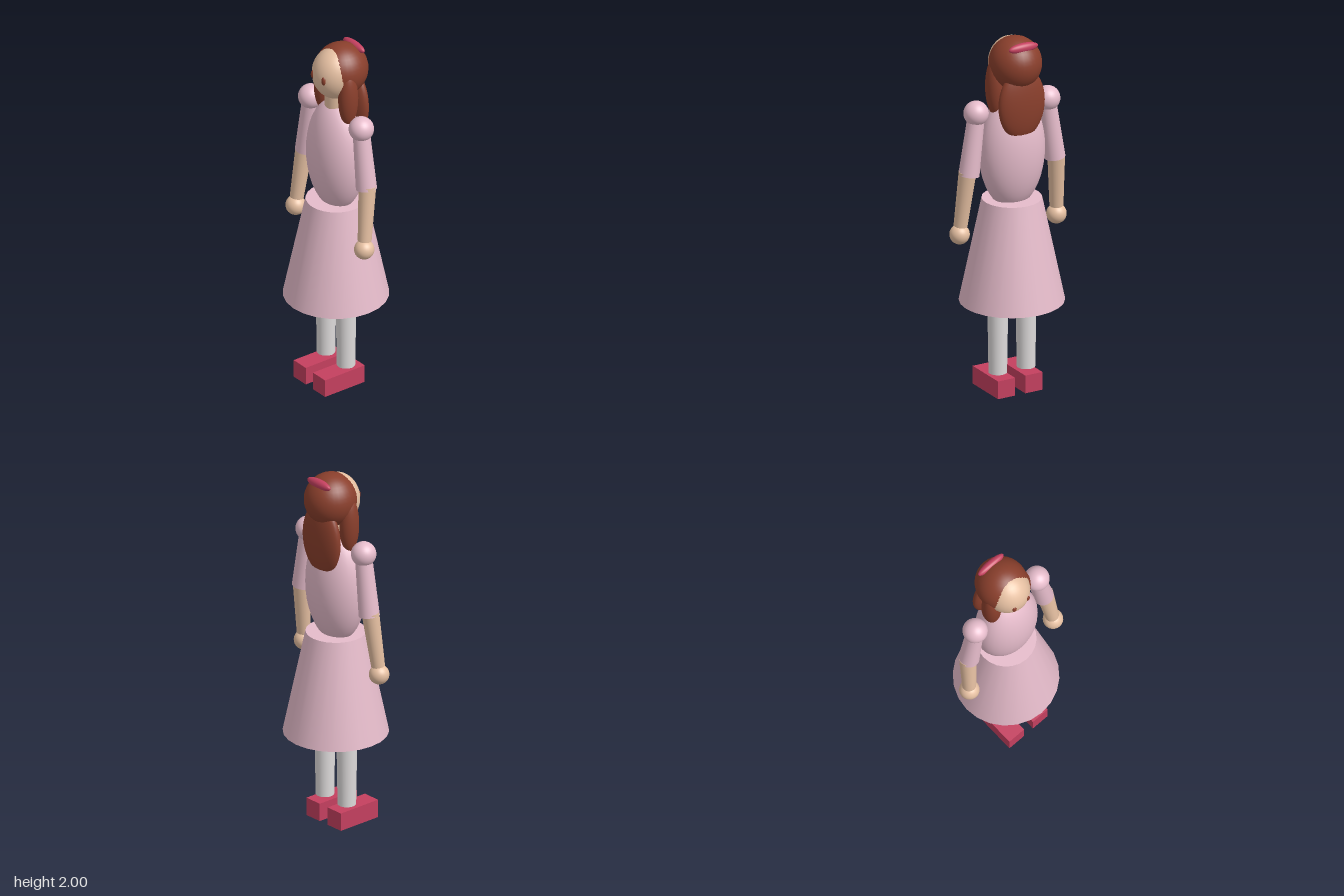
import * as THREE from 'three';

const material = (name, color) => {
  const m = new THREE.MeshStandardMaterial({ color });
  m.name = name;
  return m;
};

export function createModel() {
  const model = new THREE.Group();
  model.name = 'girlDoll';

  const pink = material('dressPink', 0xe6bccb);
  const skin = material('skin', 0xe6c0a2);
  const brown = material('hairBrown', 0x8a3f2c);
  const red = material('shoeRed', 0xc4405f);
  const white = material('stockingWhite', 0xdedbdb);

  const add = (name, geometry, mat) => {
    const mesh = new THREE.Mesh(geometry, mat);
    mesh.name = name;
    model.add(mesh);
    return mesh;
  };

  const ellipsoid = (name, mat, [x, y, z], [rx, ry, rz]) => {
    const mesh = add(name, new THREE.SphereGeometry(1, 32, 20), mat);
    mesh.scale.set(rx, ry, rz);
    mesh.position.set(x, y, z);
    return mesh;
  };

  // Tapered limb running from an upper point to a lower point
  const limb = (name, mat, top, bottom, rTop, rBottom) => {
    const a = new THREE.Vector3(...top);
    const b = new THREE.Vector3(...bottom);
    const mesh = add(name, new THREE.CylinderGeometry(rTop, rBottom, a.distanceTo(b), 24), mat);
    mesh.position.copy(a).add(b).multiplyScalar(0.5);
    mesh.quaternion.setFromUnitVectors(new THREE.Vector3(0, 1, 0), a.sub(b).normalize());
    return mesh;
  };

  // Dress and neck
  limb('skirt', pink, [0, 1.085, 0], [0, 0.51, 0], 0.16, 0.28);
  ellipsoid('bodice', pink, [0, 1.355, 0], [0.185, 0.325, 0.14]);
  limb('neck', skin, [0, 1.76, 0], [0, 1.62, 0], 0.06, 0.06);

  // Head, hair and hair bow
  ellipsoid('head', skin, [0, 1.845, 0], [0.125, 0.145, 0.13]);
  ellipsoid('hairCap', brown, [0, 1.855, -0.035], [0.14, 0.145, 0.145]);
  ellipsoid('backHair', brown, [0, 1.645, -0.1], [0.138, 0.2, 0.052]);
  ellipsoid('hairBow', red, [0, 1.965, -0.119], [0.088, 0.027, 0.024]);

  // Mirrored parts
  for (const [side, s] of [['left', 1], ['right', -1]]) {
    ellipsoid(side + 'Eye', brown, [s * 0.046, 1.85, 0.117], [0.013, 0.024, 0.011]);
    ellipsoid(side + 'SideHair', brown, [s * 0.105, 1.73, 0], [0.049, 0.16, 0.055]);

    ellipsoid(side + 'PuffSleeve', pink, [s * 0.218, 1.6, 0], [0.067, 0.067, 0.067]);
    limb(side + 'Sleeve', pink, [s * 0.215, 1.6, 0], [s * 0.262, 1.26, 0], 0.045, 0.056);
    limb(side + 'Forearm', skin, [s * 0.27, 1.28, 0], [s * 0.292, 0.97, 0.035], 0.047, 0.037);
    ellipsoid(side + 'Hand', skin, [s * 0.295, 0.92, 0.04], [0.054, 0.054, 0.054]);

    limb(side + 'Leg', white, [s * 0.086, 0.56, 0], [s * 0.086, 0.115, 0], 0.056, 0.049);
    add(side + 'Shoe', new THREE.BoxGeometry(0.104, 0.1, 0.262), red)
      .position.set(s * 0.083, 0.05, 0.045);
  }

  return model;
}
